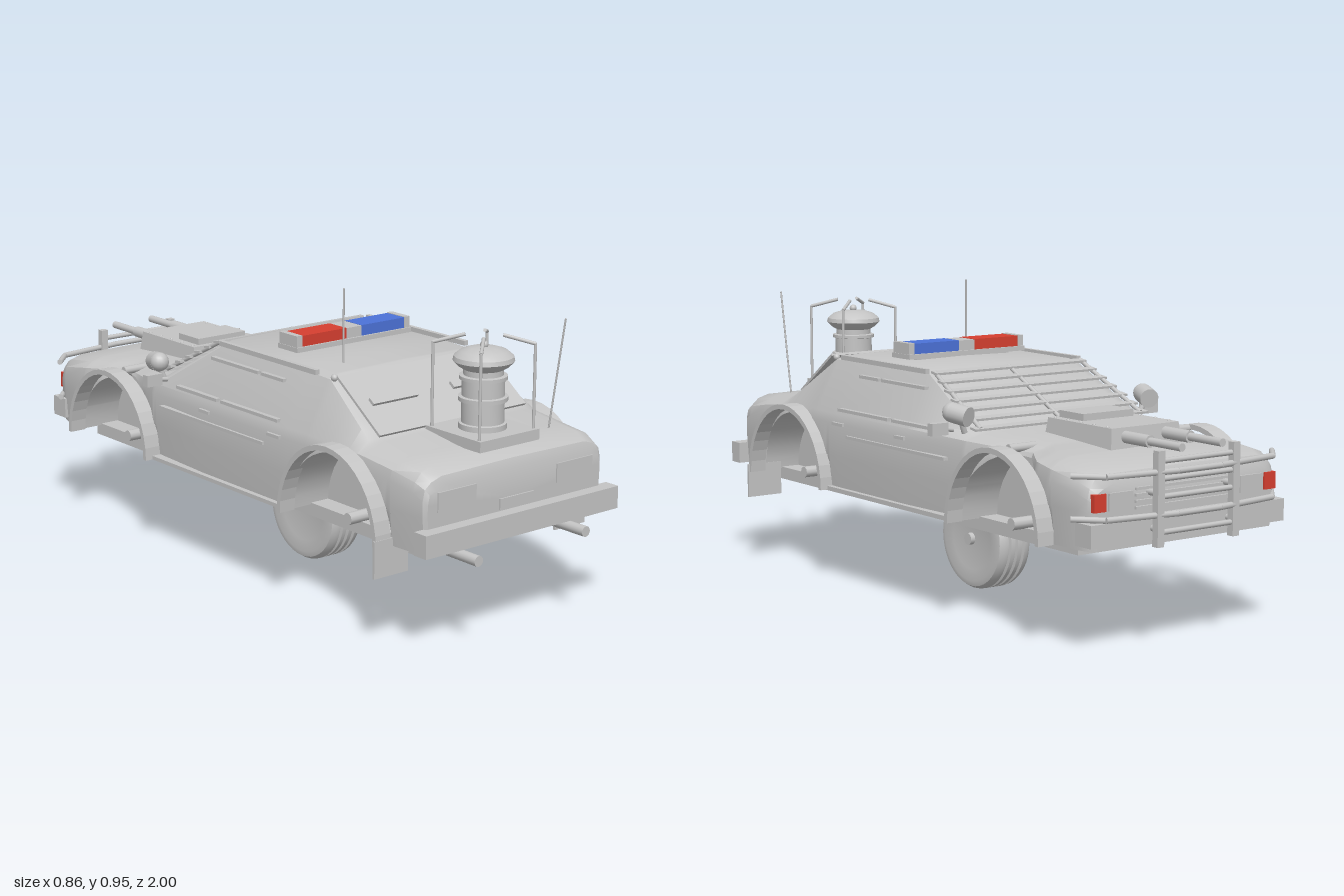
import * as THREE from 'three';
import { toCreasedNormals } from 'three/addons/utils/BufferGeometryUtils.js';

const grey = new THREE.MeshStandardMaterial({ color: 0xc4c4c4 });
grey.name = 'plain grey';
const red = new THREE.MeshStandardMaterial({ color: 0xd63f30 });
red.name = 'signal red';
const blue = new THREE.MeshStandardMaterial({ color: 0x4c72d8 });
blue.name = 'signal blue';

const V = (x, y, z) => new THREE.Vector3(x, y, z);
const ARCHES = [0.57, -0.555], ARCH_R = 0.22, FLOOR = 0.31;

// Body stations: z, half width, roof half width, top height, shoulder height
const STATIONS = [
  [0.925, 0.335, 0.30, 0.505, 0.485], [0.915, 0.345, 0.315, 0.53, 0.50], [0.88, 0.35, 0.32, 0.552, 0.515],
  [0.79, 0.355, 0.32, 0.562, 0.53], [0.66, 0.36, 0.315, 0.58, 0.545], [0.44, 0.37, 0.285, 0.722, 0.555],
  [0.3, 0.375, 0.285, 0.728, 0.555], [-0.08, 0.375, 0.285, 0.726, 0.555], [-0.36, 0.36, 0.31, 0.575, 0.55],
  [-0.45, 0.335, 0.3, 0.567, 0.545], [-0.53, 0.31, 0.27, 0.563, 0.54], [-0.6, 0.295, 0.25, 0.56, 0.54],
  [-0.68, 0.345, 0.3, 0.555, 0.53], [-0.76, 0.358, 0.325, 0.55, 0.52], [-0.88, 0.355, 0.33, 0.535, 0.5],
  [-0.915, 0.345, 0.32, 0.52, 0.485], [-0.93, 0.33, 0.30, 0.495, 0.47],
];

function stationAt(z) {
  let i = 0;
  while (i < STATIONS.length - 2 && STATIONS[i + 1][0] > z) i++;
  const a = STATIONS[i], b = STATIONS[i + 1], t = (a[0] - z) / (a[0] - b[0]);
  return a.map((v, k) => v + (b[k] - v) * t);
}

function bodyRing(z) {
  const [, w, r, top, s] = stationAt(z);
  const d = Math.min(...ARCHES.map((c) => Math.abs(z - c) / ARCH_R));
  const arch = d < 1 ? FLOOR + 0.22 * Math.sqrt(1 - d * d) : FLOOR;
  const inner = d < 1 ? 0.22 : w - 0.05;
  const half = [
    [0, top + 0.004], [r * 0.88, top], [r, top - 0.012], [w * 0.98, Math.max(s, arch + 0.005)],
    [w, Math.max(s - 0.03, arch)], [w, Math.max(0.42, arch)], [w - 0.008, arch],
    [inner, arch], [inner, FLOOR], [0, FLOOR],
  ];
  const mirrored = half.slice(1, -1).reverse().map(([x, y]) => [-x, y]);
  return [...half, ...mirrored].map(([x, y]) => [x, y, z]);
}

// Lofted shell with wheel wells pushed into the flanks
function bodyGeometry() {
  const zs = STATIONS.map((s) => s[0]);
  for (const c of ARCHES) {
    for (let k = 0; k <= 18; k++) zs.push(c + ARCH_R * Math.cos((k / 18) * Math.PI));
    zs.push(c + ARCH_R + 0.001, c - ARCH_R - 0.001);
  }
  zs.sort((a, b) => b - a);
  const rings = zs.map(bodyRing), n = rings[0].length, pos = [];
  const tri = (...p) => p.forEach((q) => pos.push(...q));
  for (let i = 0; i < rings.length - 1; i++) {
    for (let j = 0; j < n; j++) {
      const k = (j + 1) % n;
      tri(rings[i][j], rings[i][k], rings[i + 1][j]);
      tri(rings[i][k], rings[i + 1][k], rings[i + 1][j]);
    }
  }
  const first = rings[0], last = rings[rings.length - 1];
  for (let j = 0; j < n; j++) {
    const k = (j + 1) % n;
    tri([0, 0.42, first[0][2]], first[k], first[j]);
    tri([0, 0.42, last[0][2]], last[j], last[k]);
  }
  const g = new THREE.BufferGeometry();
  g.setAttribute('position', new THREE.Float32BufferAttribute(pos, 3));
  return toCreasedNormals(g, 0.6);
}

export function createModel() {
  const car = new THREE.Group();
  car.name = 'patrolCar';
  const add = (name, geo, mat = grey, x = 0, y = 0, z = 0) => {
    const m = new THREE.Mesh(geo, mat);
    m.name = name;
    m.position.set(x, y, z);
    car.add(m);
    return m;
  };
  // Box given by its limits on each axis
  const box = (name, x0, x1, y0, y1, z0, z1, mat) =>
    add(name, new THREE.BoxGeometry(Math.abs(x1 - x0), y1 - y0, Math.abs(z1 - z0)), mat,
      (x0 + x1) / 2, (y0 + y1) / 2, (z0 + z1) / 2);
  // Round bar between two points
  const rod = (name, a, b, r, sides = 10) => {
    const dir = b.clone().sub(a), mid = a.clone().add(b).multiplyScalar(0.5);
    const m = add(name, new THREE.CylinderGeometry(r, r, dir.length(), sides), grey, mid.x, mid.y, mid.z);
    m.quaternion.setFromUnitVectors(V(0, 1, 0), dir.normalize());
    return m;
  };
  const lathe = (pts, seg = 32) =>
    toCreasedNormals(new THREE.LatheGeometry(pts.map(([x, y]) => new THREE.Vector2(x, y)), seg), 0.6);

  add('bodyShell', bodyGeometry());
  box('floorPlate', -0.285, 0.285, 0.275, 0.315, -0.8, 0.82);

  // Single central wheel with tread grooves
  const tyre = [[0, -0.055], [0.1, -0.055], [0.135, -0.062], [0.152, -0.058], [0.16, -0.045]];
  for (const g of [-0.026, 0, 0.026]) tyre.push([0.162, g - 0.006], [0.153, g - 0.003], [0.153, g + 0.003], [0.162, g + 0.006]);
  tyre.push([0.16, 0.045], [0.152, 0.058], [0.135, 0.062], [0.1, 0.055], [0, 0.055]);
  add('wheel', lathe(tyre, 40), grey, 0, 0.165, 0.02).rotation.z = -Math.PI / 2;
  rod('wheelHub', V(0.05, 0.165, 0.02), V(0.071, 0.165, 0.02), 0.019, 16);

  // Wheel arch flares, stub axles, flaps and side fittings
  const flare = new THREE.Shape();
  flare.absellipse(0, 0, 0.225, 0.25, 0, Math.PI, false);
  flare.absellipse(0, 0, 0.21, 0.234, Math.PI, 0, true);
  const flareGeo = new THREE.ExtrudeGeometry(flare, { depth: 0.055, bevelEnabled: false, curveSegments: 10 });
  flareGeo.rotateY(-Math.PI / 2);
  for (const s of [1, -1]) {
    for (const c of ARCHES) {
      add('archFlare', flareGeo, grey, s > 0 ? 0.41 : -0.355, FLOOR, c);
      rod('stubAxle', V(s * 0.2, 0.33, c + 0.005), V(s * 0.33, 0.33, c + 0.005), 0.018);
    }
    box('mudFlap', s * 0.29, s * 0.415, 0.225, 0.335, 0.787, 0.795);
    box('sideSill', s * 0.345, s * 0.385, 0.31, 0.322, -0.33, 0.345);
    for (const [z0, z1, y, x] of [[0.15, 0.26, 0.675, 0.309], [-0.1, 0.135, 0.675, 0.309],
      [0.02, 0.3, 0.57, 0.364], [-0.21, 0.0, 0.57, 0.364], [0.26, 0.32, 0.525, 0.374], [-0.08, -0.03, 0.525, 0.374],
      [-0.29, 0.24, 0.49, 0.374]]) box('sideSlat', s * (x - 0.008), s * (x + 0.009), y - 0.005, y + 0.005, z0, z1);
    box('roofRail', s * 0.285, s * 0.3, 0.715, 0.73, -0.08, 0.39);
    box('sideMirror', s * 0.375, s * 0.432, 0.563, 0.6, -0.305, -0.28);
    rod('mirrorArm', V(s * 0.35, 0.575, -0.292), V(s * 0.38, 0.58, -0.292), 0.007);
    // Spotlight beside the windscreen
    rod('spotlight', V(s * 0.365, 0.63, -0.31), V(s * 0.345, 0.62, -0.365), 0.03, 18);
    add('spotlightBack', new THREE.SphereGeometry(0.03, 16, 10), grey, s * 0.365, 0.63, -0.31);
    rod('spotlightStem', V(s * 0.335, 0.57, -0.33), V(s * 0.355, 0.62, -0.335), 0.009);
    rod('fenderTube', V(s * 0.24, 0.55, -0.55), V(s * 0.34, 0.55, -0.55), 0.013);
    // Tail end
    rod('exhaust', V(s * 0.21, 0.29, 0.75), V(s * 0.21, 0.29, 1.0), 0.016, 16);
    box('rearLamp', s * 0.157, s * 0.3, 0.43, 0.488, 0.92, 0.929);
    add('windowHinge', new THREE.SphereGeometry(0.011, 12, 8), grey, s * 0.278, 0.716, 0.45);
    // Nose lamps
    box('noseMarker', s * 0.295, s * 0.338, 0.42, 0.47, -0.936, -0.9, red);
    box('headlamp', s * 0.2, s * 0.285, 0.42, 0.47, -0.937, -0.92);
  }

  // Bumpers and number plate
  box('rearBumper', -0.375, 0.375, 0.32, 0.388, 0.915, 0.965);
  box('rearPlate', -0.066, 0.066, 0.392, 0.425, 0.92, 0.93);
  box('noseBumper', -0.36, 0.36, 0.325, 0.39, -0.95, -0.88);
  for (let i = 0; i < 4; i++) box('grilleSlat', -0.19, 0.19, 0.415 + i * 0.018, 0.423 + i * 0.018, -0.938, -0.92);

  // Bull bar at the nose
  const posts = [-0.14, 0.14];
  for (const x of posts) {
    box('bullBarPost', x - 0.012, x + 0.012, 0.31, 0.58, -0.985, -0.962);
    for (const y of [0.36, 0.46]) rod('bullBarMount', V(x, y, -0.9), V(x, y, -0.97), 0.01);
  }
  for (let i = 0; i < 5; i++) rod('bullBarRail', V(-0.14, 0.35 + i * 0.05, -0.974), V(0.14, 0.35 + i * 0.05, -0.974), 0.008);
  for (const y of [0.4, 0.52]) {
    const path = [[-0.375, -0.88], [-0.31, -0.952], [-0.08, -0.985], [0.08, -0.985], [0.31, -0.952], [0.375, -0.88]];
    for (let i = 0; i < 5; i++) rod('wrapBar', V(path[i][0], y, path[i][1]), V(path[i + 1][0], y, path[i + 1][1]), 0.009);
  }

  // Windscreen louvres
  for (let i = 0; i < 7; i++) {
    const t = i / 6, z = -0.11 - 0.255 * t, half = 0.29 + 0.04 * t;
    const m = box('louvre', -half, half, 0.716 - 0.137 * t, 0.723 - 0.137 * t, z - 0.014, z + 0.014);
    m.rotation.x = -0.15;
  }
  for (const s of [-1, 0, 1]) rod('louvreRib', V(s * 0.28, 0.722, -0.1), V(s * 0.305, 0.582, -0.37), 0.007);

  // Gun housing on the bonnet
  const housing = new THREE.BoxGeometry(0.27, 0.075, 0.31);
  const hp = housing.attributes.position;
  for (let i = 0; i < hp.count; i++) if (hp.getY(i) > 0) hp.setXYZ(i, hp.getX(i) * 0.93, hp.getY(i), hp.getZ(i) * 0.94);
  housing.computeVertexNormals();
  add('gunHousing', housing, grey, 0, 0.575, -0.605);
  box('housingHatch', -0.095, 0.095, 0.61, 0.633, -0.585, -0.475);
  for (const s of [1, -1]) {
    rod('gunSleeve', V(s * 0.075, 0.585, -0.74), V(s * 0.075, 0.585, -0.86), 0.018, 14);
    rod('gunBarrel', V(s * 0.075, 0.585, -0.85), V(s * 0.075, 0.585, -0.995), 0.012, 14);
    for (let i = 0; i < 5; i++) add('housingBolt', new THREE.SphereGeometry(0.005, 8, 6), grey, s * 0.115, 0.612, -0.48 - i * 0.06);
  }

  // Roof light bar
  box('lightBarBase', -0.225, 0.225, 0.735, 0.75, 0.115, 0.21);
  box('lightBarFoot', -0.18, 0.18, 0.72, 0.736, 0.14, 0.185);
  box('lightBarCentre', -0.03, 0.03, 0.75, 0.782, 0.122, 0.203);
  box('redLight', -0.202, -0.03, 0.75, 0.783, 0.122, 0.203, red);
  box('blueLight', 0.03, 0.202, 0.75, 0.783, 0.122, 0.203, blue);
  for (const s of [1, -1]) box('lightBarCap', s * 0.202, s * 0.223, 0.75, 0.785, 0.12, 0.205);

  // Armoured rear window with vision slits
  const shield = new THREE.Group();
  shield.name = 'rearWindowShield';
  shield.position.set(0, 0.655, 0.565);
  shield.rotation.x = 0.617;
  car.add(shield);
  shield.add(box('shieldPlate', -0.285, 0.285, -0.004, 0.004, -0.117, 0.117));
  for (const s of [1, -1]) shield.add(box('visionSlit', s * 0.07, s * 0.24, 0, 0.013, -0.012, 0.012));

  // Siren tower on the boot
  box('sirenBase', -0.115, 0.115, 0.56, 0.592, 0.665, 0.895);
  const siren = [[0, 0.59], [0.07, 0.59], [0.07, 0.608], [0.062, 0.61], [0.062, 0.672], [0.072, 0.674], [0.072, 0.686],
    [0.062, 0.688], [0.062, 0.735], [0.07, 0.737], [0.07, 0.747], [0.058, 0.749], [0.058, 0.765], [0.075, 0.775],
    [0.089, 0.79], [0.086, 0.803], [0.068, 0.818], [0.04, 0.827], [0, 0.83]];
  add('sirenTower', lathe(siren), grey, 0, 0, 0.78);
  add('sirenKnob', new THREE.SphereGeometry(0.012, 14, 10), grey, 0, 0.835, 0.78);
  for (const sx of [1, -1]) {
    for (const sz of [1, -1]) {
      rod('sirenPost', V(sx * 0.105, 0.58, 0.78 + sz * 0.1), V(sx * 0.105, 0.842, 0.78 + sz * 0.1), 0.0045, 8);
      rod('sirenArm', V(sx * 0.105, 0.84, 0.78 + sz * 0.1), V(sx * 0.038, 0.864, 0.78 + sz * 0.038), 0.0055, 8);
    }
  }

  // Aerials and wiper
  rod('roofAerial', V(-0.17, 0.72, 0.36), V(-0.17, 0.95, 0.36), 0.003, 6);
  rod('bootAerial', V(0.226, 0.555, 0.82), V(0.226, 0.895, 0.877), 0.003, 6);
  rod('wiper', V(0.12, 0.59, 0.72), V(0.19, 0.59, 0.66), 0.006, 8);
  return car;
}
